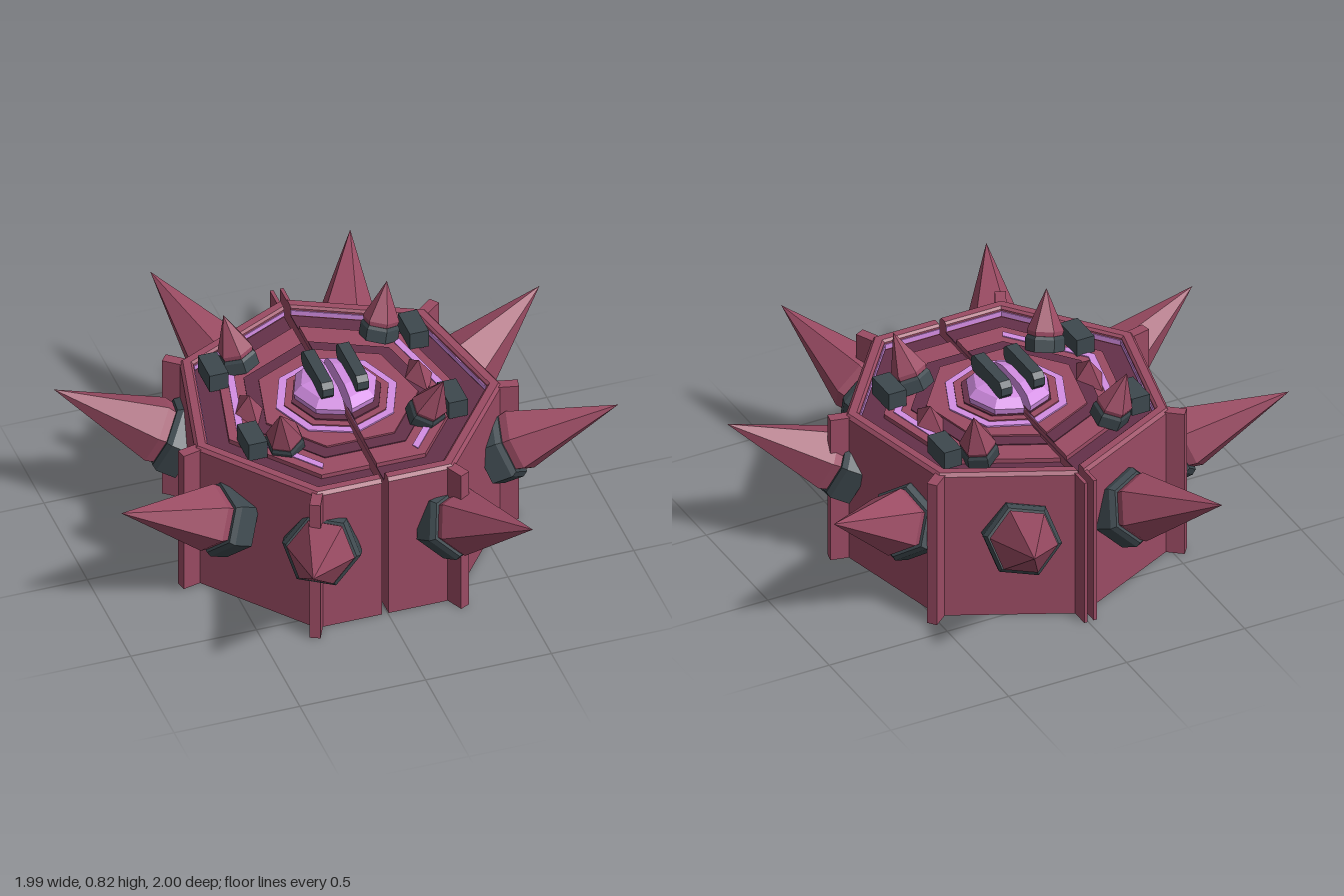
import * as THREE from 'three';

const mat = (name, color, flatShading = true) => {
  const m = new THREE.MeshStandardMaterial({ color, flatShading });
  m.name = name;
  return m;
};
const GAP = 0.013; // half width of the slit between the two halves

// Point on a polygon of n sides (corner 0 at the back), cut off at the slit.
function cutPoint(r, y, k, n, s) {
  const corner = (j) => [r * Math.sin((j * 2 * Math.PI) / n), -r * Math.cos((j * 2 * Math.PI) / n)];
  let [x, z] = corner(k);
  if (k === 0 || k === 4) {
    const [ax, az] = corner(k === 0 ? 0 : 4);
    const [bx, bz] = corner(k === 0 ? 1 : 3);
    const t = Math.abs(bx - ax) < 1e-6 ? 0 : Math.min(1, (GAP - ax) / (bx - ax));
    x = GAP;
    z = az + (bz - az) * t;
  }
  return [s * Math.max(GAP, x), y, z];
}

// Sweep a closed profile of [radius, height] round one half of a polygon, with capped ends.
function halfSweep(profile, n, s, ks = [0, 1, 2, 3, 4]) {
  const pos = [];
  const tri = (a, b, c) => pos.push(...(s > 0 ? [...a, ...b, ...c] : [...a, ...c, ...b]));
  const rows = ks.map((k) => profile.map(([r, y]) => cutPoint(r, y, k, n, s)));
  for (let j = 0; j < rows.length - 1; j++) {
    profile.forEach((p, i) => {
      const q = (i + 1) % profile.length;
      if (p[0] === 0 && profile[q][0] === 0) return;
      tri(rows[j][i], rows[j][q], rows[j + 1][q]);
      tri(rows[j][i], rows[j + 1][q], rows[j + 1][i]);
    });
  }
  const first = rows[0], last = rows[rows.length - 1];
  const contour = profile.map(([r, y]) => new THREE.Vector2(r, y));
  for (const [a, b, c] of THREE.ShapeUtils.triangulateShape(contour, [])) {
    tri(first[a], first[c], first[b]);
    tri(last[a], last[b], last[c]);
  }
  const g = new THREE.BufferGeometry();
  g.setAttribute('position', new THREE.Float32BufferAttribute(pos, 3));
  g.computeVertexNormals();
  return g;
}

export function createModel() {
  const model = new THREE.Group();
  model.name = 'spikedDrum';
  const red = mat('maroon', 0x9a4b63);
  const dark = mat('darkMaroon', 0x643149);
  const violet = mat('violet', 0xd48ee4);
  const grey = mat('slate', 0x3d484e);

  const add = (name, geo, material, parent = model) => {
    const m = new THREE.Mesh(geo, material);
    m.name = name;
    parent.add(m);
    return m;
  };
  const disc = (r, y0, y1) => [[0, y0], [r, y0], [r, y1], [0, y1]];
  const lathe = (pts, n) => new THREE.LatheGeometry(pts.map(([r, y]) => new THREE.Vector2(r, y)), n);

  // Spike with a collar, standing at base and pointing to tip
  function spike(name, base, tip, r, collarR, h) {
    const g = new THREE.Group();
    g.name = name;
    const a = new THREE.Vector3(...base);
    const d = new THREE.Vector3(...tip).sub(a);
    const len = d.length();
    g.position.copy(a);
    g.quaternion.setFromUnitVectors(new THREE.Vector3(0, 1, 0), d.normalize());
    add('collar', lathe([[0, -h / 2], [collarR, -h / 2], [collarR, h * 0.3], [collarR * 0.9, h / 2], [0, h / 2]], 6), grey, g);
    add('point', lathe([[0, h * 0.3], [r * 0.9, h * 0.3], [r, h * 0.5 + r * 0.25], [0, len]], 6), red, g);
    model.add(g);
  }

  // Two mirrored halves of the drum
  const halves = new THREE.Group();
  halves.name = 'drumHalves';
  halves.position.x = -0.01;
  model.add(halves);
  const layers = [
    ['body', [[0, 0], [0.626, 0], [0.626, 0.622], [0.613, 0.635], [0.58, 0.635], [0.57, 0.626], [0.57, 0.585], [0, 0.585]], 7, red],
    ['floor', disc(0.57, 0.584, 0.592), 7, dark],
    ['innerStrip', [[0.566, 0.598], [0.571, 0.598], [0.571, 0.618], [0.566, 0.618]], 7, violet],
    ['outerPlate', disc(0.475, 0.59, 0.61), 7, red],
    ['innerRecess', disc(0.37, 0.605, 0.614), 7, dark],
    ['innerPlate', disc(0.31, 0.61, 0.621), 7, red],
    ['glowRing', disc(0.24, 0.615, 0.627), 8, violet],
    ['middlePlate', disc(0.208, 0.62, 0.632), 8, red],
    ['domeSeat', disc(0.178, 0.625, 0.638), 8, dark],
    ['dome', [[0, 0.63], [0.158, 0.63], [0.165, 0.662], [0.135, 0.695], [0.075, 0.712], [0, 0.712]], 8, violet],
  ];
  for (const s of [1, -1]) {
    for (const [name, profile, n, m] of layers) {
      add(name, halfSweep(profile, n, s), m, halves).position.z = name === 'dome' ? -0.015 : 0;
    }
    add('sideGlow', halfSweep([[0.407, 0.605], [0.437, 0.605], [0.437, 0.614], [0.407, 0.614]], 7, s, [1, 2, 3]), violet, halves);

    // Corner ribs
    for (const k of [1, 2, 3]) {
      const a = (k * 2 * Math.PI) / 7;
      const rib = add('cornerRib', new THREE.BoxGeometry(0.042, 0.628, 0.09), red, halves);
      rib.position.set(s * 0.643 * Math.sin(a), 0.314, -0.643 * Math.cos(a));
      rib.rotation.y = -s * a;
    }
    add('backRib', new THREE.BoxGeometry(0.014, 0.628, 0.09), red, halves).position.set(s * (GAP + 0.007), 0.314, -0.643);

    // Solid handle bar with chamfered ends, lying over the dome
    const outline = new THREE.Shape([[-0.108, 0.698], [0.108, 0.698], [0.125, 0.718], [0.125, 0.75], [0.105, 0.77],
      [-0.105, 0.77], [-0.125, 0.75], [-0.125, 0.718]].map((p) => new THREE.Vector2(...p)));
    const bar = new THREE.ExtrudeGeometry(outline, { depth: 0.045, bevelEnabled: false });
    bar.translate(0, 0, -0.0225).rotateY(Math.PI / 2);
    add('handleBar', bar, grey, halves).position.set(s * 0.069, 0, -0.015);

    // Blocks and low studs on the top
    for (const z of [-0.265, 0.185]) {
      add('topBlock', new THREE.BoxGeometry(0.075, 0.075, 0.137), grey, halves).position.set(s * 0.398, 0.644, z);
    }
    const stud = new THREE.ConeGeometry(1, 0.085, 4);
    stud.scale(0.062, 1, 0.118);
    add('lowStud', stud, red, halves).position.set(s * 0.337, 0.645, -0.03);
  }

  // Small spikes on the top
  for (const s of [1, -1]) {
    const x = (v) => s * v - 0.01;
    spike('topSpike', [x(0.28), 0.638, 0.22], [x(0.325), 0.825, 0.295], 0.07, 0.075, 0.06);
    spike('topSpike', [x(0.28), 0.638, -0.315], [x(0.325), 0.825, -0.36], 0.07, 0.075, 0.06);
  }

  // Large spikes round the sides: base x, z and tip x, z
  const sides = [
    [0.22, -0.57, 0.39, -1], [-0.235, -0.57, -0.405, -1],
    [0.55, -0.27, 0.95, -0.44], [-0.56, -0.265, -0.985, -0.43],
    [0.575, 0.19, 0.99, 0.35], [-0.55, 0.27, -0.995, 0.375],
    [0.26, 0.56, 0.435, 0.975], [-0.26, 0.56, -0.445, 0.995],
  ];
  for (const [bx, bz, tx, tz] of sides) spike('sideSpike', [bx, 0.375, bz], [tx, 0.585, tz], 0.13, 0.15, 0.1);

  return model;
}
